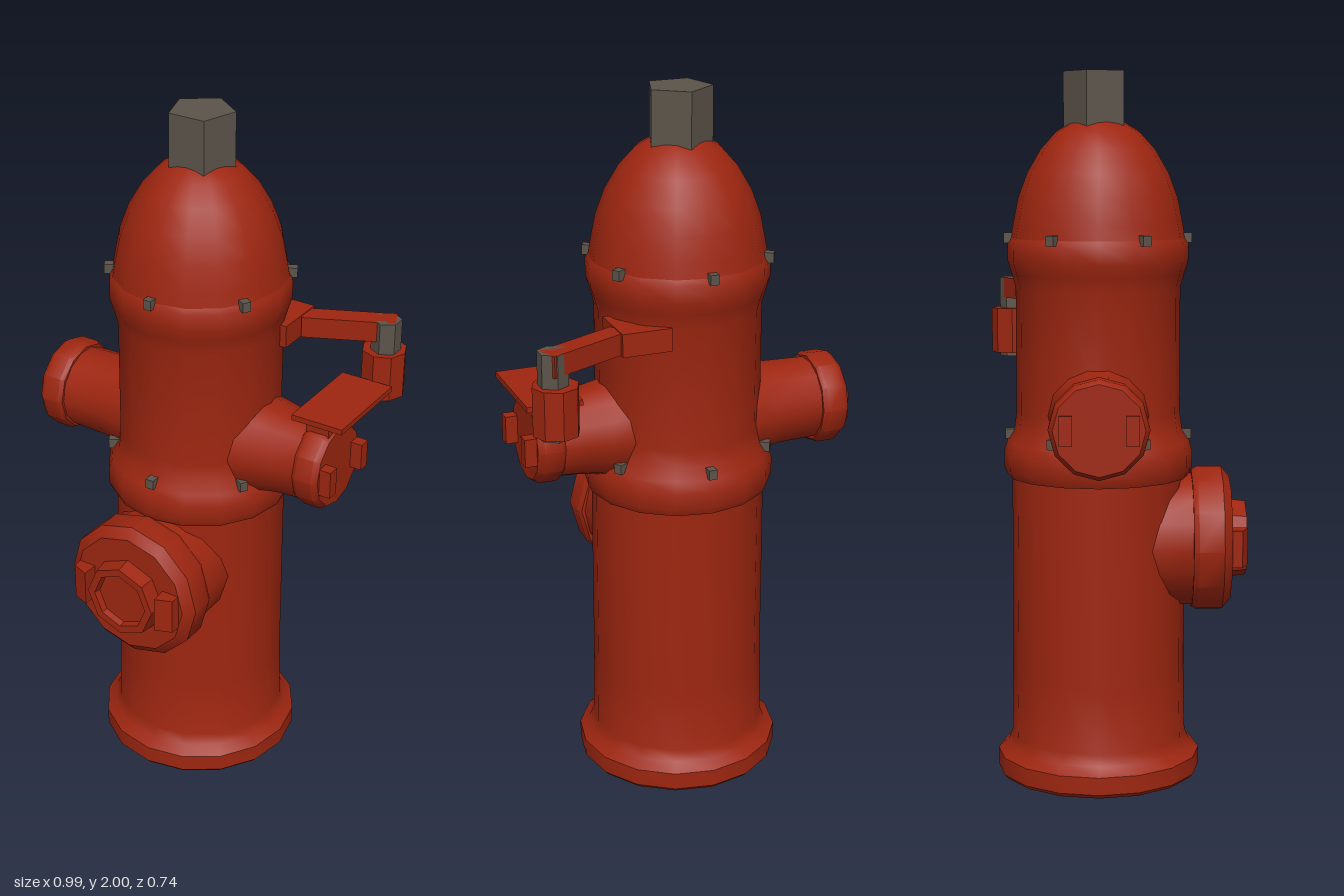
import * as THREE from 'three';
import { toCreasedNormals } from 'three/addons/utils/BufferGeometryUtils.js';

const CX = -0.012, CZ = -0.052; // axis of the barrel

export function createModel() {
  const red = new THREE.MeshStandardMaterial({ color: 0x9e2610 });
  red.name = 'red paint';
  const iron = new THREE.MeshStandardMaterial({ color: 0x5c544a });
  iron.name = 'dark iron';
  const model = new THREE.Group();
  model.name = 'hydrant';

  const add = (name, geometry, material, x, y, z, parent = model) => {
    const mesh = new THREE.Mesh(toCreasedNormals(geometry, 0.65), material);
    mesh.name = name;
    mesh.position.set(x, y, z);
    parent.add(mesh);
    return mesh;
  };
  const box = (name, w, h, d, x, y, z, parent, material = red) =>
    add(name, new THREE.BoxGeometry(w, h, d), material, x, y, z, parent);
  // profile points are [radius, height], listed from bottom to top
  const lathe = (name, points, sides, x, y, z, parent) =>
    add(name, new THREE.LatheGeometry(points.map(p => new THREE.Vector2(...p)), sides), red, x, y, z, parent);

  // Barrel: foot, lower column, middle flange and upper column
  lathe('lowerBarrel', [[0, 0], [0.28, 0], [0.291, 0.012], [0.291, 0.062], [0.262, 0.085],
    [0.25, 0.115], [0.246, 0.3], [0.245, 0.88]], 16, CX, 0, CZ);
  lathe('upperBarrel', [[0.235, 0.868], [0.258, 0.868], [0.268, 0.89], [0.268, 0.935], [0.258, 0.968],
    [0.238, 1.0], [0.232, 1.05], [0.232, 1.4], [0.243, 1.44], [0.254, 1.475], [0.254, 1.525],
    [0.242, 1.545]], 16, CX, 0, CZ);

  // Domed bonnet and its five-sided nut
  lathe('bonnet', [[0.246, 1.535], [0.238, 1.58], [0.224, 1.65], [0.198, 1.72], [0.16, 1.785],
    [0.115, 1.835], [0.065, 1.865], [0, 1.872]], 16, CX, 0, CZ);
  const nut = add('operatingNut', new THREE.CylinderGeometry(0.093, 0.093, 0.16, 5), iron, CX, 1.92, -0.055);
  nut.rotation.y = Math.PI;

  // Two rings of flange bolts
  for (const y of [0.985, 1.54]) {
    for (let i = 0; i < 6; i++) {
      const a = i * Math.PI / 3;
      const bolt = box('flangeBolt', 0.024, 0.028, 0.03,
        CX + Math.sin(a) * 0.249, y, CZ + Math.cos(a) * 0.249, model, iron);
      bolt.rotation.y = a;
    }
  }

  // Side outlets: each is built along +y, then turned outwards
  for (const side of [1, -1]) {
    const outlet = new THREE.Group();
    outlet.name = side > 0 ? 'leftOutlet' : 'rightOutlet';
    outlet.position.set(0, 1.06, CZ);
    outlet.rotation.z = -side * Math.PI / 2;
    model.add(outlet);
    const end = side > 0 ? 0.437 : 0.488;
    const r = side > 0 ? 0.128 : 0.134;
    lathe('outletNeck', [[0.145, 0.15], [0.135, 0.22], [0.122, 0.29], [0.118, end - 0.07]], 14, 0, 0, 0, outlet);
    lathe('outletCap', [[0.1, end - 0.078], [r - 0.008, end - 0.078], [r, end - 0.066], [r, end - 0.016],
      [r - 0.012, end], [0, end]], 12, 0, 0, 0, outlet);
    const lugHeight = side > 0 ? 0.04 : 0.018;
    for (const s of [1, -1]) {
      box('capLug', 0.08, lugHeight, 0.035, 0, end + (side > 0 ? 0.014 : -0.001), s * 0.088, outlet);
    }
  }

  // Large front outlet
  const front = new THREE.Group();
  front.name = 'frontOutlet';
  front.position.set(CX, 0.68, 0);
  front.rotation.x = Math.PI / 2;
  model.add(front);
  lathe('frontNeck', [[0.19, 0.02], [0.19, 0.23]], 16, 0, 0, 0, front);
  lathe('frontCap', [[0.16, 0.213], [0.2, 0.213], [0.209, 0.228], [0.209, 0.298], [0.188, 0.315],
    [0.18, 0.322], [0, 0.322]], 12, 0, 0, 0, front);
  lathe('frontBoss', [[0.115, 0.31], [0.108, 0.368], [0.085, 0.368], [0.08, 0.35], [0, 0.35]], 8, 0, 0, 0, front);
  // Wedge lugs either side of the boss
  for (const s of [1, -1]) {
    const wedge = new THREE.Shape([[0.115, 0.31], [0.168, 0.31], [0.165, 0.35], [0.117, 0.368]]
      .map(p => new THREE.Vector2(...p)));
    const lug = add('frontLug', new THREE.ExtrudeGeometry(wedge, { depth: 0.105, bevelEnabled: false }),
      red, 0, 0, -0.0525 * s, front);
    if (s < 0) {
      lug.rotation.y = Math.PI;
    }
  }

  // Bracket and angled arm
  box('armMount', 0.14, 0.065, 0.155, 0.158, 1.372, -0.188);
  const arm = box('arm', 0.26, 0.06, 0.062, 0.338, 1.372, -0.268);
  arm.rotation.y = Math.atan2(0.105, 0.23);

  // Hinge barrel with its pin, plus the flat plate over the left outlet
  add('hingeBarrel', new THREE.CylinderGeometry(0.064, 0.064, 0.135, 8), red, 0.43, 1.242, -0.31);
  add('hingePin', new THREE.CylinderGeometry(0.042, 0.042, 0.24, 6), iron, 0.435, 1.282, -0.307);
  box('coverPlate', 0.155, 0.016, 0.285, 0.412, 1.224, -0.107);
  box('plateSupport', 0.07, 0.06, 0.1, 0.395, 1.19, CZ);

  return model;
}
